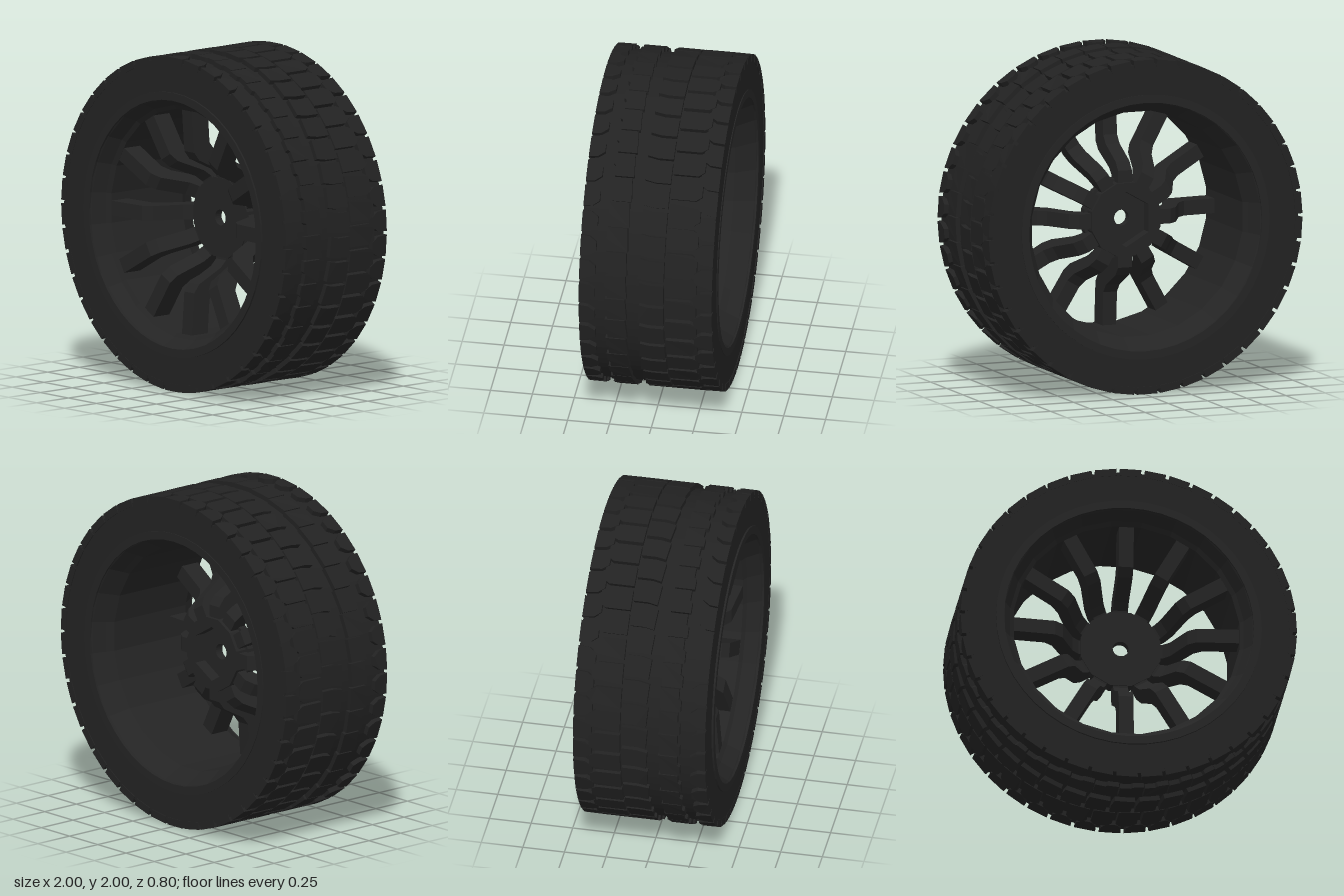
import * as THREE from 'three';
import { mergeGeometries } from 'three/addons/utils/BufferGeometryUtils.js';

const rubber = new THREE.MeshStandardMaterial({ color: 0x222222 });
rubber.name = 'tyre rubber';
const rimPaint = new THREE.MeshStandardMaterial({ color: 0x242424 });
rimPaint.name = 'rim black';

// Faceted copy of a geometry
function faceted(geo) {
  const g = geo.index ? geo.toNonIndexed() : geo;
  g.computeVertexNormals();
  return g;
}

// Surface of revolution about z from [radius, z] points
function turned(points, sides, phase = 0) {
  const g = new THREE.LatheGeometry(points.map(([r, z]) => new THREE.Vector2(r, z)), sides, phase);
  return faceted(g.rotateX(Math.PI / 2));
}

function polygonPoints(sides, radius, phase = 0) {
  return Array.from({ length: sides }, (_, i) => {
    const a = phase + (i / sides) * Math.PI * 2;
    return new THREE.Vector2(Math.cos(a) * radius, Math.sin(a) * radius);
  });
}

// Polygonal plate with a polygonal hole, between two z positions
function plate(outer, hole, z0, z1) {
  const shape = new THREE.Shape(outer);
  shape.holes.push(new THREE.Path(hole));
  return new THREE.ExtrudeGeometry(shape, { depth: z1 - z0, bevelEnabled: false }).translate(0, 0, z0);
}

// One row of tread blocks: outline in [pitch fraction, z], wrapped on the tyre
const BLOCKS = 42;
function treadRow(outline, offset) {
  const shape = new THREE.Shape(outline.map(([u, z]) => new THREE.Vector2(u, z)));
  const block = new THREE.ExtrudeGeometry(shape, { depth: 1, bevelEnabled: false });
  const pos = block.attributes.position;
  const pitch = (Math.PI * 2) / BLOCKS;
  for (let i = 0; i < pos.count; i++) {
    const a = (pos.getX(i) + offset) * pitch;
    const r = 0.955 + 0.045 * pos.getZ(i);
    pos.setXYZ(i, Math.cos(a) * r, Math.sin(a) * r, pos.getY(i));
  }
  block.computeVertexNormals();
  const copies = [];
  for (let k = 0; k < BLOCKS; k++) copies.push(block.clone().rotateZ(k * pitch));
  return mergeGeometries(copies);
}

export function createModel() {
  const wheel = new THREE.Group();
  wheel.name = 'wheel';
  wheel.position.y = 1;
  const add = (name, geo, mat) => {
    const mesh = new THREE.Mesh(geo, mat);
    mesh.name = name;
    wheel.add(mesh);
    return mesh;
  };

  // Tyre carcass
  add('tyreCarcass', turned([
    [0.77, -0.395], [0.975, -0.395], [0.97, -0.38], [0.97, 0.38],
    [0.975, 0.392], [0.77, 0.392], [0.77, -0.395],
  ], 96), rubber);

  // Tread rows from front to back
  const rows = [
    ['frontShoulderTread', 0, [[0, 0.394], [0.04, 0.34], [0.24, 0.3], [0.62, 0.3], [0.82, 0.34], [0.86, 0.394]]],
    ['frontRibTread', 0.3, [[0, 0.11], [0.95, 0.12], [0.95, 0.24], [0.5, 0.24], [0.42, 0.225], [0, 0.225]]],
    ['centreTread', 0.1, [[0.06, -0.11], [0.9, -0.11], [0.9, -0.02], [0.98, 0.035], [0.15, 0.045], [0.06, -0.02]]],
    ['backRibTread', 0.5, [[0.06, -0.27], [0.22, -0.305], [0.74, -0.305], [0.9, -0.27], [0.9, -0.12], [0.06, -0.12]]],
    ['backShoulderTread', 0, [[0, -0.4], [0.86, -0.4], [0.82, -0.33], [0.62, -0.29], [0.24, -0.29], [0.04, -0.33]]],
  ];
  for (const [name, offset, outline] of rows) add(name, treadRow(outline, offset), rubber);

  // Rim lips on both faces
  const lip = (z0, z1) => turned([[0.742, z0], [0.79, z0], [0.79, z1], [0.742, z1], [0.742, z0]], 48);
  add('frontRimLip', lip(0.37, 0.403), rimPaint);
  add('backRimLip', lip(-0.4, -0.37), rimPaint);

  // Inner barrel with a sloping seat at each end
  add('rimBarrel', turned([
    [0.755, 0.4], [0.74, 0.385], [0.7, 0.31], [0.676, 0.29],
    [0.676, -0.27], [0.7, -0.31], [0.74, -0.385], [0.755, -0.398],
  ], 24, Math.PI / 24), rimPaint).geometry.computeBoundingSphere();
  // The barrel is seen from inside, so its faces are turned inward by the descending profile

  // Hub: face plate with axle hole, and a collar with a hexagonal socket
  const turn = Math.PI / 12;
  add('hubFace', plate(polygonPoints(12, 0.245, turn), polygonPoints(24, 0.047), -0.025, 0.025), rimPaint);
  add('hubCollar', plate(polygonPoints(12, 0.225, turn), polygonPoints(6, 0.165, Math.PI / 6), -0.1, -0.02), rimPaint);

  // Twelve dished spokes from the hub forward to the barrel
  const side = new THREE.Shape([
    [0.2, 0.015], [0.25, 0.02], [0.29, 0.06], [0.37, 0.23], [0.42, 0.27], [0.685, 0.29],
    [0.685, 0.165], [0.47, 0.15], [0.42, 0.11], [0.34, -0.04], [0.29, -0.08], [0.2, -0.08],
  ].map(([r, z]) => new THREE.Vector2(r, z)));
  const spoke = new THREE.ExtrudeGeometry(side, { depth: 0.088, bevelEnabled: false })
    .translate(0, 0, -0.044).rotateX(Math.PI / 2);
  const spokes = new THREE.Group();
  spokes.name = 'spokes';
  for (let i = 0; i < 12; i++) {
    const mesh = new THREE.Mesh(spoke, rimPaint);
    mesh.name = 'spoke';
    mesh.rotation.z = (i * Math.PI) / 6;
    spokes.add(mesh);
  }
  wheel.add(spokes);

  const model = new THREE.Group();
  model.name = 'spokedWheel';
  model.add(wheel);
  return model;
}
